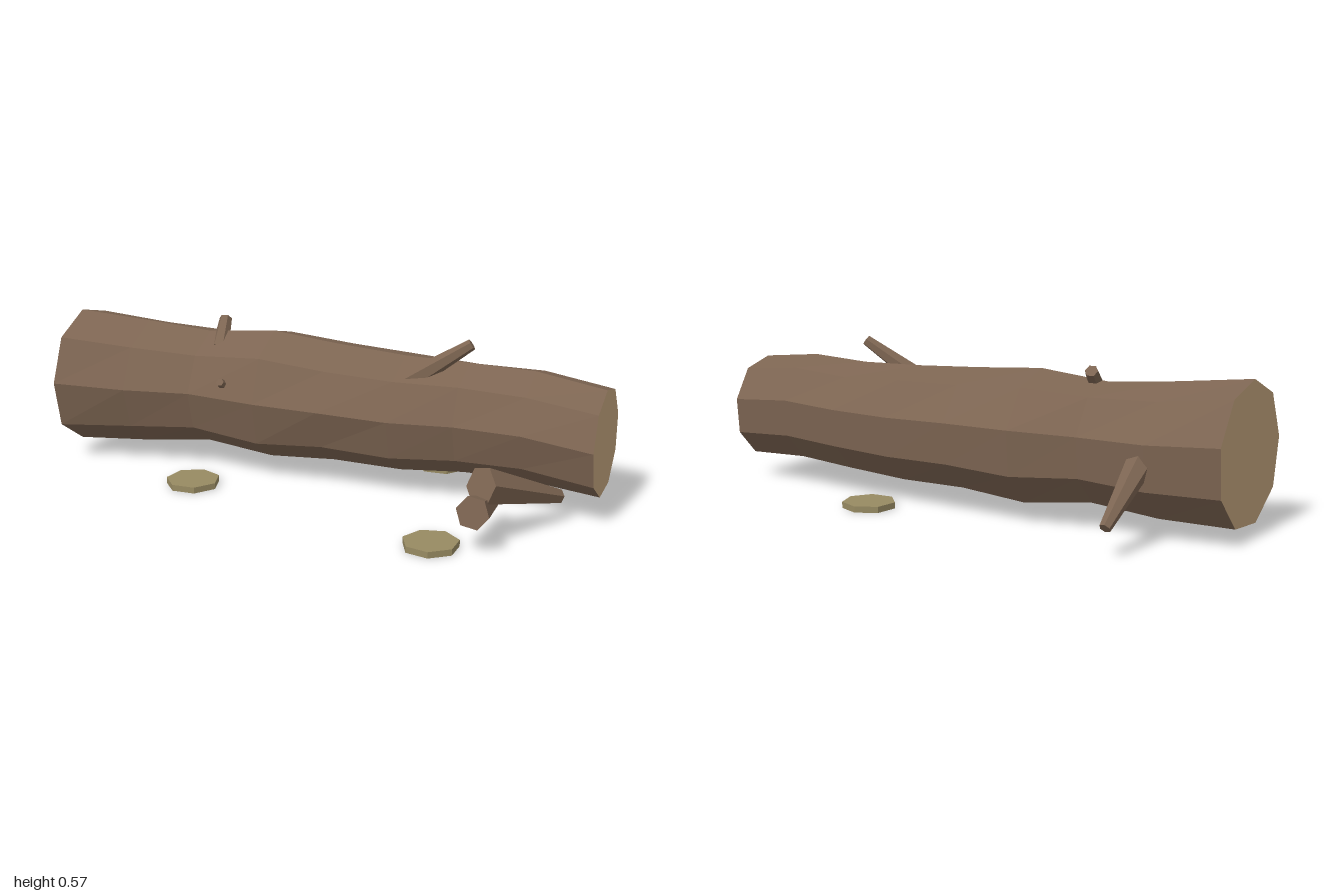
import * as THREE from 'three';

const paint = (color) => new THREE.MeshStandardMaterial({ color, flatShading: true, roughness: 0.9 });
const bark = paint(0x7d6552);
const wood = paint(0xc0a27c);
const stone = paint(0x978a62);
const SIDES = 9;

// Trunk sections: back edge x, z; front edge x, z; top y; bottom y
const sections = [
  [-1.0, 0.07, -0.86, 0.52, 0.535, 0.045],
  [-0.77, -0.04, -0.63, 0.39, 0.51, 0.055],
  [-0.53, -0.11, -0.42, 0.27, 0.49, 0.08],
  [-0.32, -0.23, -0.16, 0.21, 0.515, 0.052],
  [-0.07, -0.30, 0.07, 0.13, 0.495, 0.072],
  [0.18, -0.36, 0.30, 0.03, 0.48, 0.068],
  [0.40, -0.43, 0.51, -0.07, 0.475, 0.085],
  [0.63, -0.48, 0.75, -0.125, 0.48, 0.095],
  [0.88, -0.53, 0.995, -0.19, 0.45, 0.08],
];

// Nine points around one section, with slightly uneven radii
function ring([ax, az, bx, bz, top, bottom], i) {
  const half = (top - bottom) / 1.962;
  const cy = top - 0.996 * half;
  const points = [];
  for (let k = 0; k < SIDES; k++) {
    const a = ((5 + 40 * k) * Math.PI) / 180;
    const bump = k === 1 || k === 3 || k === 8 ? 1 + 0.025 * Math.sin(i * 2.3 + k) : 1;
    const t = (0.966 + Math.cos(a) * bump) / 1.962;
    points.push(new THREE.Vector3(ax + (bx - ax) * t, cy + half * Math.sin(a) * bump, az + (bz - az) * t));
  }
  return points;
}

function meshFromTriangles(name, points, material) {
  const geometry = new THREE.BufferGeometry().setFromPoints(points);
  geometry.computeVertexNormals();
  const mesh = new THREE.Mesh(geometry, material);
  mesh.name = name;
  return mesh;
}

function createTrunk() {
  const trunk = new THREE.Group();
  trunk.name = 'trunk';
  const rings = sections.map(ring);
  const sides = [];
  for (let i = 0; i < rings.length - 1; i++) {
    for (let k = 0; k < SIDES; k++) {
      const n = (k + 1) % SIDES;
      const [a, b, c, d] = [rings[i][k], rings[i + 1][k], rings[i + 1][n], rings[i][n]];
      sides.push(a, b, c, a, c, d);
    }
  }
  trunk.add(meshFromTriangles('barkSurface', sides, bark));

  // Sawn ends
  const endCap = (name, loop) => {
    const centre = loop.reduce((s, p) => s.add(p), new THREE.Vector3()).divideScalar(SIDES);
    const triangles = loop.flatMap((p, k) => [centre, p, loop[(k + 1) % SIDES]]);
    trunk.add(meshFromTriangles(name, triangles, wood));
  };
  endCap('rightSawnEnd', rings[0]);
  endCap('leftSawnEnd', [...rings[rings.length - 1]].reverse());
  return trunk;
}

// Tapered six-sided stick between two points
function stick(name, from, to, r0, r1) {
  const start = new THREE.Vector3(...from);
  const end = new THREE.Vector3(...to);
  const direction = end.clone().sub(start);
  const mesh = new THREE.Mesh(new THREE.CylinderGeometry(r1, r0, direction.length(), 6), bark);
  mesh.position.copy(start).add(end).multiplyScalar(0.5);
  mesh.quaternion.setFromUnitVectors(new THREE.Vector3(0, 1, 0), direction.normalize());
  mesh.name = name;
  return mesh;
}

export function createModel() {
  const model = new THREE.Group();
  model.name = 'fallenLog';
  model.add(createTrunk());

  // Branches growing from the trunk
  model.add(
    stick('longBranch', [0.24, 0.36, -0.05], [0.48, 0.55, -0.215], 0.045, 0.02),
    stick('topStub', [-0.40, 0.44, 0.12], [-0.45, 0.53, 0.035], 0.032, 0.023),
    stick('frontStub', [-0.33, 0.30, 0.14], [-0.285, 0.365, 0.24], 0.025, 0.014),
    stick('backBranch', [-0.725, 0.29, 0.01], [-0.785, 0.10, -0.22], 0.05, 0.02),
  );

  // Broken pieces lying by the left end
  model.add(
    stick('largeBrokenBranch', [0.775, 0.205, 0.125], [0.855, 0.09, -0.215], 0.068, 0.026),
    stick('smallBrokenBranch', [0.805, 0.145, 0.21], [0.71, 0.09, -0.05], 0.057, 0.02),
  );

  // Flat stones on the ground
  [[-0.325, 0.345, 47], [0.665, 0.242, 32], [0.23, -0.395, 47]].forEach(([x, z, turn], i) => {
    const disc = new THREE.Mesh(new THREE.CylinderGeometry(0.096, 0.096, 0.022, 7), stone);
    disc.position.set(x, 0.011, z);
    disc.rotation.y = THREE.MathUtils.degToRad(turn);
    disc.name = `flatStone${i + 1}`;
    model.add(disc);
  });
  return model;
}
